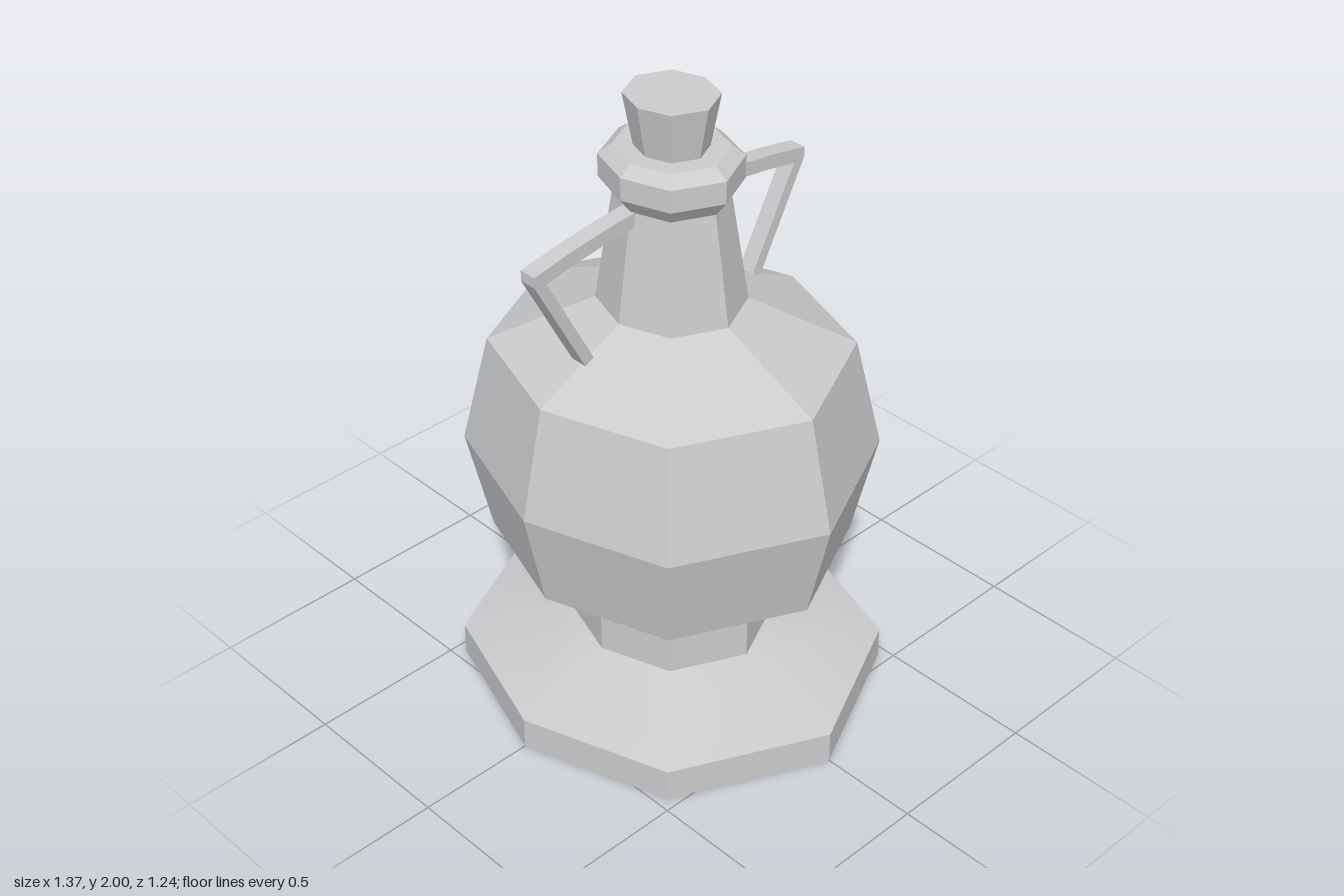
import * as THREE from 'three';

const flat = new THREE.MeshStandardMaterial({ color: 0xcccccc, flatShading: true });
const smooth = new THREE.MeshStandardMaterial({ color: 0xcccccc });

// Eight-sided ring, slightly narrower front to back, corners on the axes
const DIAGONAL = 0.678, DEPTH = 0.905;
const corners = [
  [0, DEPTH], [DIAGONAL, DIAGONAL], [1, 0], [DIAGONAL, -DIAGONAL],
  [0, -DEPTH], [-DIAGONAL, -DIAGONAL], [-1, 0], [-DIAGONAL, DIAGONAL],
];

// Turned part from a bottom-to-top profile of [radius, height]
function turned(name, profile, material = flat) {
  const geometry = new THREE.LatheGeometry(profile.map(([r, y]) => new THREE.Vector2(r, y)), 8);
  const position = geometry.attributes.position;
  for (let i = 0; i < position.count; i++) {
    const [r] = profile[i % profile.length];
    const [cx, cz] = corners[Math.floor(i / profile.length) % 8];
    position.setX(i, r * cx);
    position.setZ(i, r * cz);
  }
  const mesh = new THREE.Mesh(geometry, material);
  mesh.name = name;
  return mesh;
}

// Bent strap handle, drawn as a [z, y] outline and given a thickness along x
function handle(name, side) {
  const outline = [
    [0.11, 1.693], [0.16, 1.692], [0.255, 1.683], [0.39, 1.665], [0.525, 1.64],
    [0.525, 1.607], [0.35, 1.275], [0.318, 1.29], [0.482, 1.602],
    [0.38, 1.621], [0.245, 1.64], [0.155, 1.646], [0.11, 1.646],
  ];
  const shape = new THREE.Shape(outline.map(([z, y]) => new THREE.Vector2(z * side, y)));
  const geometry = new THREE.ExtrudeGeometry(shape, { depth: 0.055, bevelEnabled: false });
  geometry.rotateY(-Math.PI / 2).translate(0.015, 0, 0);
  const mesh = new THREE.Mesh(geometry, flat);
  mesh.name = name;
  return mesh;
}

export function createModel() {
  const model = new THREE.Group();
  model.name = 'flask';
  model.add(
    // Foot
    turned('footPlate', [[0, 0], [0.685, 0], [0.685, 0.105]]),
    turned('footSlope', [[0.685, 0.105], [0.33, 0.2]], smooth),
    turned('stem', [[0.33, 0.2], [0.33, 0.39]]),
    // Vessel
    turned('body', [[0.33, 0.39], [0.57, 0.52], [0.648, 0.845], [0.562, 1.195], [0.23, 1.345]]),
    turned('neck', [[0.23, 1.345], [0.175, 1.69]]),
    turned('collar', [[0.175, 1.69], [0.215, 1.74], [0.215, 1.81], [0.175, 1.84], [0, 1.84]]),
    // Stopper
    turned('stopper', [[0.112, 1.84], [0.143, 2], [0, 2]]),
    // Handles
    handle('frontHandle', 1),
    handle('backHandle', -1),
  );
  return model;
}
